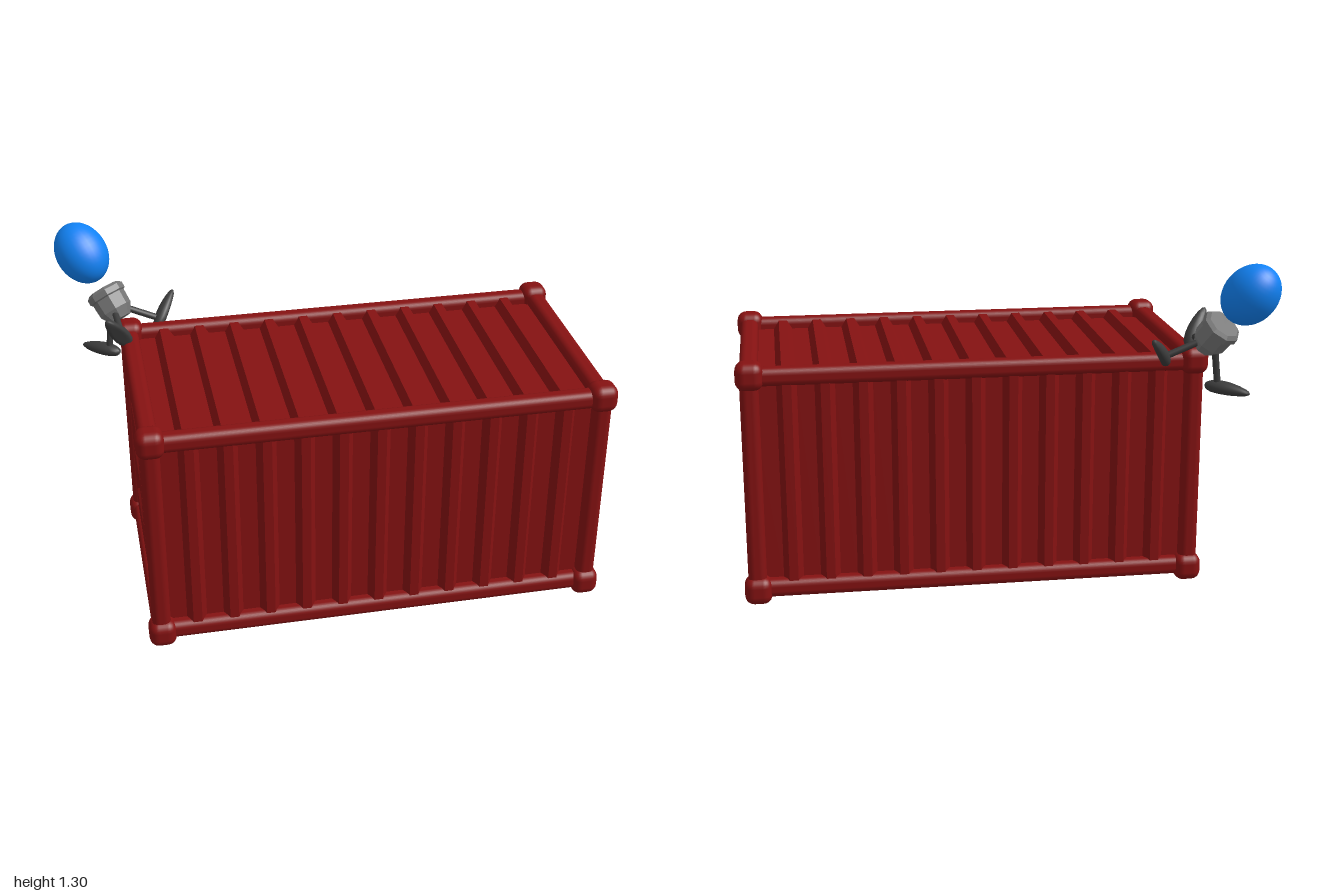
import * as THREE from 'three';
import { RoundedBoxGeometry } from 'three/addons/geometries/RoundedBoxGeometry.js';

const red = new THREE.MeshStandardMaterial({ color: 0x851212 });
const blue = new THREE.MeshStandardMaterial({ color: 0x1182f5 });
const grey = new THREE.MeshStandardMaterial({ color: 0x777777, flatShading: true });
const dark = new THREE.MeshStandardMaterial({ color: 0x3c3c3c });

function add(parent, name, geometry, material, x = 0, y = 0, z = 0) {
  const mesh = new THREE.Mesh(geometry, material);
  mesh.name = name;
  mesh.position.set(x, y, z);
  parent.add(mesh);
  return mesh;
}

// Corrugated sheet: trapezoid ridges along x, facing +z
function corrugatedGeometry() {
  const low = 0.408, high = 0.442, length = 0.8, pitch = 0.141;
  const pts = [[-0.845, 0.385], [0.845, 0.385], [0.845, low]];
  for (let i = 5; i >= -5; i--) {
    const c = i * pitch;
    pts.push([c + 0.038, low], [c + 0.017, high], [c - 0.017, high], [c - 0.038, low]);
  }
  pts.push([-0.845, low]);
  const shape = new THREE.Shape(pts.map(p => new THREE.Vector2(...p)));
  return new THREE.ExtrudeGeometry(shape, { depth: length, bevelEnabled: false })
    .translate(0, 0, -length / 2).rotateX(Math.PI / 2);
}

// Sunken panel: four sloping walls and a floor
function recessGeometry(w, h, inset, depth) {
  const ring = (a, b, z) => [-a, -b, z, a, -b, z, a, b, z, -a, b, z];
  const g = new THREE.BufferGeometry();
  g.setAttribute('position', new THREE.Float32BufferAttribute(
    [...ring(w, h, 0), ...ring(w - inset, h - inset, -depth)], 3));
  const index = [4, 5, 6, 4, 6, 7];
  for (let i = 0; i < 4; i++) {
    const j = (i + 1) % 4;
    index.push(i, j, j + 4, i, j + 4, i + 4);
  }
  g.setIndex(index);
  const flat = g.toNonIndexed();
  flat.computeVertexNormals();
  return flat;
}

// One door leaf with rounded corners and three openings, facing +z
function doorGeometry(w, h) {
  const r = 0.014, s = new THREE.Shape();
  s.moveTo(-w + r, -h);
  s.lineTo(w - r, -h).quadraticCurveTo(w, -h, w, -h + r);
  s.lineTo(w, h - r).quadraticCurveTo(w, h, w - r, h);
  s.lineTo(-w + r, h).quadraticCurveTo(-w, h, -w, h - r);
  s.lineTo(-w, -h + r).quadraticCurveTo(-w, -h, -w + r, -h);
  for (const y of [-0.21, 0, 0.21]) {
    const hole = [[-0.138, y - 0.068], [-0.138, y + 0.068], [0.138, y + 0.068], [0.138, y - 0.068]];
    s.holes.push(new THREE.Path(hole.map(p => new THREE.Vector2(...p))));
  }
  return new THREE.ExtrudeGeometry(s, { depth: 0.04, bevelEnabled: false, curveSegments: 4 })
    .translate(0, 0, -0.04);
}

function createContainer() {
  const box = new THREE.Group();
  box.name = 'container';
  const X = 0.8425, Y = 0.417, Z = 0.417;

  // Frame beams and corner blocks
  const beam = (w, h, d) => new RoundedBoxGeometry(w, h, d, 3, 0.026);
  const long = beam(1.68, 0.07, 0.07), post = beam(0.07, 0.84, 0.07), cross = beam(0.07, 0.07, 0.84);
  const corner = new RoundedBoxGeometry(0.104, 0.106, 0.104, 3, 0.036);
  for (const a of [-1, 1]) {
    for (const b of [-1, 1]) {
      add(box, 'longBeam', long, red, 0, a * Y, b * Z);
      add(box, 'cornerPost', post, red, a * X, 0, b * Z);
      add(box, 'crossBeam', cross, red, a * X, b * Y, 0);
      for (const c of [-1, 1]) add(box, 'cornerBlock', corner, red, a * 0.8405, b * 0.422, c * 0.42);
    }
  }

  // Two sides, roof and floor
  const sheet = corrugatedGeometry();
  ['frontWall', 'floor', 'backWall', 'roof'].forEach((name, i) => {
    add(box, name, sheet, red).rotation.x = i * Math.PI / 2;
  });

  // Double doors at both ends
  const leaf = doorGeometry(0.203, 0.388), recess = recessGeometry(0.138, 0.068, 0.031, 0.03);
  for (const end of [-1, 1]) {
    const doors = new THREE.Group();
    doors.name = 'doors';
    doors.position.x = end * 0.86;
    doors.rotation.y = end * Math.PI / 2;
    for (const side of [-1, 1]) {
      add(doors, 'doorLeaf', leaf, red, side * 0.206, 0, 0);
      for (const y of [-0.21, 0, 0.21]) add(doors, 'doorRecess', recess, red, side * 0.206, y, 0);
    }
    box.add(doors);
  }
  box.position.set(0.1075, 0.475, 0.1175);
  return box;
}

// Tripod ornament: axis along local y, first leg along local x
function createTripod() {
  const tripod = new THREE.Group();
  tripod.name = 'tripod';

  const head = add(tripod, 'head', new THREE.SphereGeometry(0.102, 32, 20), blue, 0, 0.348, 0);
  head.scale.y = 1.25;

  // Faceted body with a rim
  const profile = [[0, 0.045], [0.045, 0.045], [0.068, 0.085], [0.07, 0.142], [0.078, 0.147],
    [0.078, 0.17], [0.064, 0.182], [0, 0.182]].map(p => new THREE.Vector2(...p));
  add(tripod, 'body', new THREE.LatheGeometry(profile, 8), grey);

  // Foot: ellipsoid narrowed towards the tip with a flattened sole
  const footGeo = new THREE.SphereGeometry(1, 16, 12);
  const p = footGeo.attributes.position;
  for (let i = 0; i < p.count; i++) {
    const x = p.getX(i), taper = 1 - 0.25 * x;
    const y = Math.max(p.getY(i), -0.6);
    p.setXYZ(i, x * 0.094, y * 0.026 * taper, p.getZ(i) * 0.033 * taper);
  }
  footGeo.computeVertexNormals();

  const hip = new THREE.Vector3(0.03, 0.085, 0), ankle = new THREE.Vector3(0.14, -0.03, 0);
  const dir = ankle.clone().sub(hip), mid = hip.clone().add(ankle).multiplyScalar(0.5);
  const legGeo = new THREE.CylinderGeometry(0.013, 0.013, dir.length(), 10);
  for (let i = 0; i < 3; i++) {
    const limb = new THREE.Group();
    limb.name = 'limb';
    limb.rotation.y = i * Math.PI * 2 / 3;
    add(limb, 'leg', legGeo, dark, mid.x, mid.y, 0)
      .quaternion.setFromUnitVectors(new THREE.Vector3(0, 1, 0), dir.clone().normalize());
    add(limb, 'foot', footGeo, dark, 0.176, -0.01, 0).rotation.z = 0.64;
    tripod.add(limb);
  }

  // Lean out from the upper back right corner
  const up = new THREE.Vector3(-0.424, 0.759, -0.493).normalize();
  const out = new THREE.Vector3(-0.58, -0.71, -0.41);
  out.addScaledVector(up, -out.dot(up)).normalize();
  const side = out.clone().cross(up);
  tripod.quaternion.setFromRotationMatrix(new THREE.Matrix4().makeBasis(out, up, side));
  tripod.position.set(-0.742, 0.915, -0.308);
  return tripod;
}

export function createModel() {
  const model = new THREE.Group();
  model.name = 'shippingContainer';
  model.add(createContainer(), createTripod());
  return model;
}
